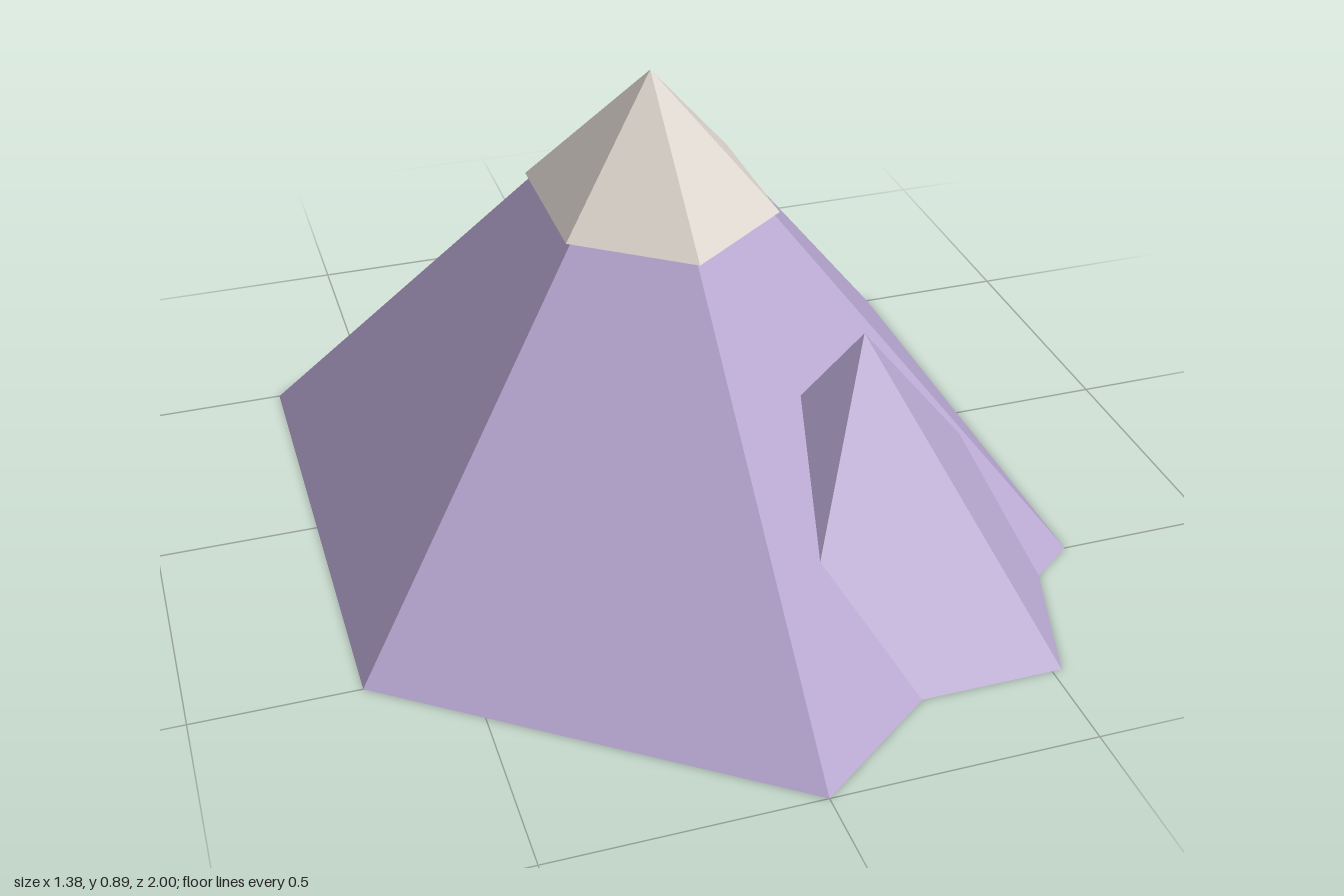
import * as THREE from 'three';

const rock = new THREE.MeshStandardMaterial({ color: 0xb3a3cc, flatShading: true });
rock.name = 'lilac rock';
const snow = new THREE.MeshStandardMaterial({ color: 0xd9d2ca, flatShading: true });
snow.name = 'pale snow';

// Faceted peak standing on its base
function peak(name, material, radius, height, sides, turn = 0) {
  const geometry = new THREE.ConeGeometry(radius, height, sides, 1, false, turn);
  geometry.translate(0, height / 2, 0);
  const mesh = new THREE.Mesh(geometry, material);
  mesh.name = name;
  return mesh;
}

export function createModel() {
  const model = new THREE.Group();
  model.name = 'mountain';

  // Six-sided main peak, narrower across x
  const mainPeak = peak('mainPeak', rock, 1, 0.89, 6);
  mainPeak.scale.x = 0.797;

  // Snow cap overhanging the summit
  const snowCap = peak('snowCap', snow, 0.3, 0.255, 6);
  snowCap.scale.x = 0.8;
  snowCap.position.y = 0.64;

  // Five-sided side peak with a flat face to the front
  const sidePeak = peak('sidePeak', rock, 0.447, 0.545, 5, Math.PI / 5);
  sidePeak.position.set(0.256, 0, 0.46);

  model.add(mainPeak, snowCap, sidePeak);
  return model;
}
